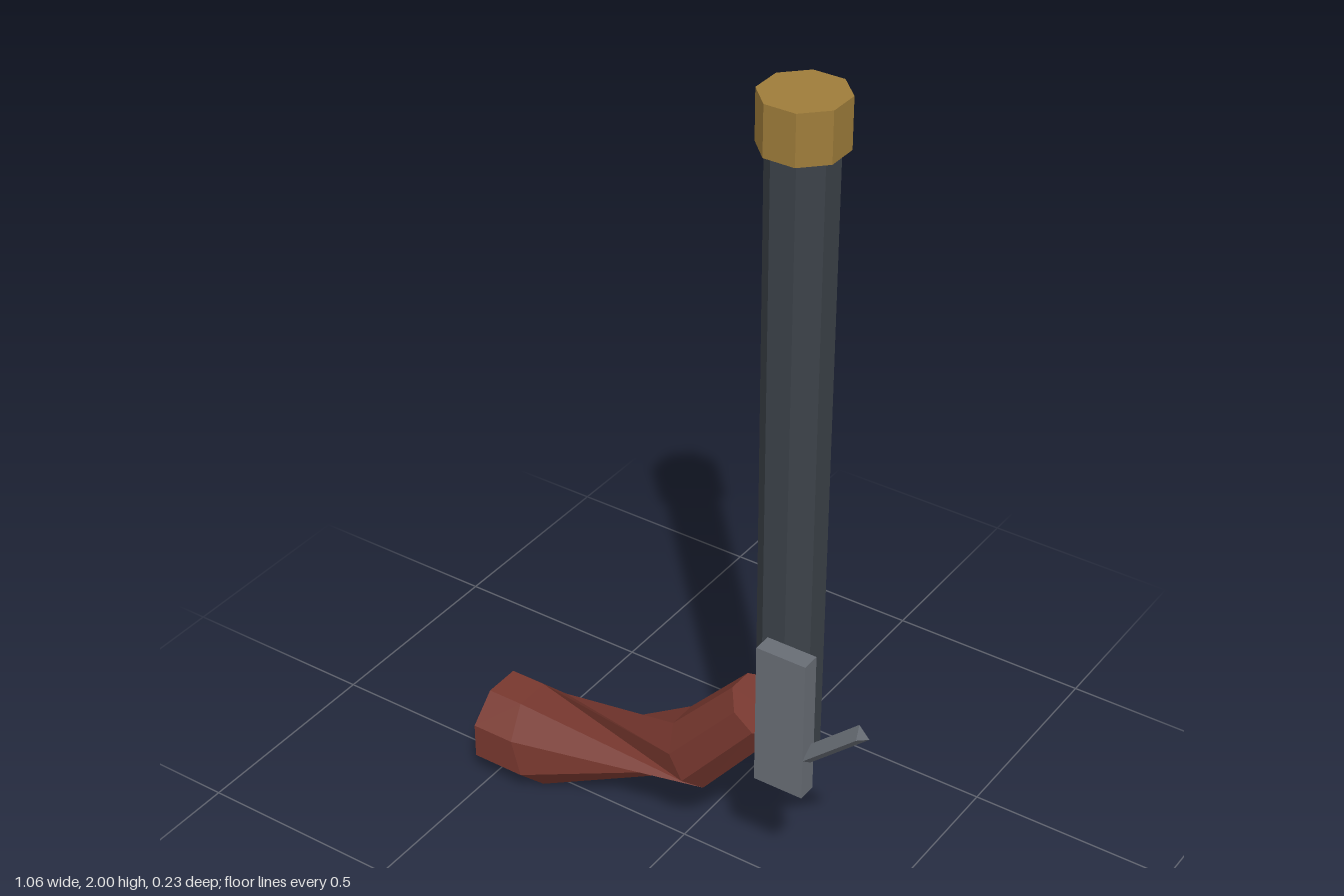
import * as THREE from 'three';

const mat = (name, color) => {
  const m = new THREE.MeshStandardMaterial({ color, flatShading: true });
  m.name = name;
  return m;
};

// Eight-sided ring between a top and a bottom point, flats facing up and sideways
function ring([tx, ty], [bx, by], halfZ) {
  const k = 1 / Math.cos(Math.PI / 8), pts = [];
  for (let i = 0; i < 8; i++) {
    const a = (i + 0.5) * Math.PI / 4, c = Math.cos(a) * k / 2;
    pts.push([(tx + bx) / 2 + (tx - bx) * c, (ty + by) / 2 + (ty - by) * c,
      -0.006 + Math.sin(a) * k * halfZ]);
  }
  return pts;
}

// Bent grip: four rings joined, with a quarter twist in the middle span
function gripGeometry() {
  const rings = [
    ring([-0.53, 0.22], [-0.53, 0.003], 0.11),
    ring([-0.44, 0.22], [-0.38, 0.003], 0.11),
    ring([-0.01, 0.352], [0.072, 0.2], 0.0885),
    ring([0.145, 0.52], [0.26, 0.43], 0.075),
  ];
  const pos = [];
  const tri = (...p) => p.forEach((v) => pos.push(...v));
  for (let n = 0; n < 3; n++) {
    const a = rings[n], b = rings[n + 1], shift = n === 1 ? 2 : 0;
    for (let i = 0; i < 8; i++) {
      const p = a[i], q = a[(i + 1) % 8];
      const r = b[(i + shift) % 8], s = b[(i + 1 + shift) % 8];
      // the twisted span folds inward, except underneath
      if (n === 1 && i !== 2) { tri(p, q, s); tri(p, s, r); }
      else { tri(p, q, r); tri(q, s, r); }
    }
  }
  // end caps
  for (let i = 1; i < 7; i++) {
    tri(rings[0][0], rings[0][i + 1], rings[0][i]);
    tri(rings[3][0], rings[3][i], rings[3][i + 1]);
  }
  const g = new THREE.BufferGeometry();
  g.setAttribute('position', new THREE.Float32BufferAttribute(pos, 3));
  g.computeVertexNormals();
  return g;
}

export function createModel() {
  const group = new THREE.Group();
  const wood = mat('reddish wood', 0x78382f);
  const steel = mat('dark steel', 0x3c4249);
  const brass = mat('brass', 0x9e7c3a);
  const iron = mat('grey iron', 0x686d75);

  const add = (name, geometry, material, x = 0, y = 0, z = 0) => {
    const m = new THREE.Mesh(geometry, material);
    m.name = name;
    m.position.set(x, y, z);
    group.add(m);
    return m;
  };

  // Upright octagonal prism with flats facing the axes
  const octagon = (top, bottom, h) =>
    new THREE.CylinderGeometry(top, bottom, h, 8).rotateY(Math.PI / 8);

  add('grip', gripGeometry(), wood);
  add('barrel', octagon(0.077, 0.073, 1.5), steel, 0.272, 1.15, -0.006);
  add('muzzleBand', octagon(0.0958, 0.0958, 0.115), brass, 0.273, 1.9425, -0.006);
  add('lockPlate', new THREE.BoxGeometry(0.123, 0.36, 0.045), iron, 0.322, 0.555, 0.0895);

  // Three-sided lever leaning out from the plate
  const lever = add('lever', new THREE.CylinderGeometry(0.0225, 0.0225, 0.24, 3), iron, 0.425, 0.517, 0.0895);
  lever.rotation.z = -THREE.MathUtils.degToRad(48);

  return group;
}
